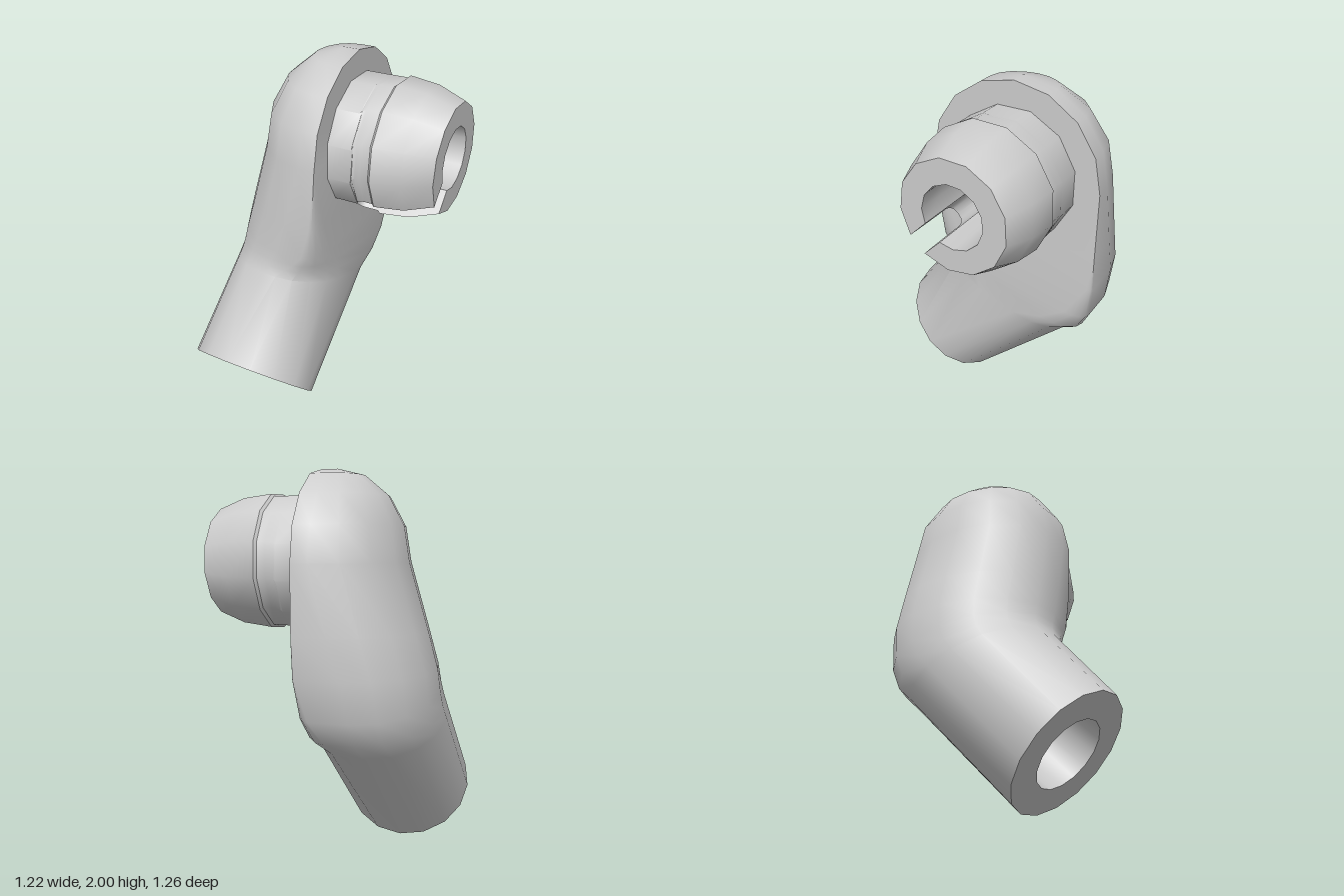
import * as THREE from 'three';
import { toCreasedNormals } from 'three/addons/utils/BufferGeometryUtils.js';

const FACE = 0.085; // x of the flat mounting face

// Skin a list of equal-length rings of Vector3; closed rings wrap around.
function loft(rings, closed = true) {
  const n = rings[0].length, index = [];
  for (let i = 0; i < rings.length - 1; i++) {
    for (let j = 0; j < (closed ? n : n - 1); j++) {
      const k = (j + 1) % n;
      const a = i * n + j, b = i * n + k, c = (i + 1) * n + k, d = (i + 1) * n + j;
      index.push(a, d, c, a, c, b);
    }
  }
  const g = new THREE.BufferGeometry().setFromPoints(rings.flat());
  g.setIndex(index);
  return toCreasedNormals(g, 0.65);
}

// Body section between two edge points [z, y]: round back, flat front with
// corner rounding cl / cr (0 = square, 1 = fully round).
function section([zl, yl], [zr, yr], xc, xmin, cl, cr) {
  const pts = [];
  const add = (s, x) => pts.push(new THREE.Vector3(
    x, (yl + yr) / 2 + s * (yl - yr) / 2, (zl + zr) / 2 + s * (zl - zr) / 2));
  for (let i = 0; i <= 8; i++) {
    const a = i * Math.PI / 8;
    add(Math.cos(a), xc + (xmin - xc) * Math.sin(a));
  }
  const corner = (side, c, t) => {
    const a = t * Math.PI / 2;
    add(side * (1 - c + c * Math.cos(a)), FACE - c * (FACE - xc) * (1 - Math.sin(a)));
  };
  for (let i = 0; i <= 4; i++) corner(-1, cr, i / 4);
  for (let i = 4; i >= 0; i--) corner(1, cl, i / 4);
  return pts;
}

function bodyGeometry() {
  const rings = [
    section([0.63, 0.49], [0.15, 0.0], -0.265, -0.61, 1, 1),
    section([0.31, 0.88], [-0.45, 0.60], -0.22, -0.555, 0.75, 0.7),
    section([0.295, 0.93], [-0.54, 0.68], -0.2, -0.545, 0.62, 0.45),
    section([0.29, 0.97], [-0.60, 0.80], -0.18, -0.535, 0.5, 0.25),
    section([0.29, 1.03], [-0.63, 1.0], -0.15, -0.52, 0.35, 0.06),
    section([0.29, 1.2], [-0.63, 1.2], -0.09, -0.47, 0.21, 0),
  ];
  // domed head
  for (let i = 0; i <= 4; i++) {
    const t = i * Math.PI / 8, w = 0.46 * Math.cos(t), y = 1.54 + 0.46 * Math.sin(t);
    rings.push(section([-0.17 + w, y], [-0.17 - w, y], 0, -0.37 * Math.cos(t), 0, 0));
  }
  // blind bore in the lower end
  const centre = new THREE.Vector3(-0.265, 0.245, 0.39);
  const inward = new THREE.Vector3(0, 0.35, -0.35);
  const mouth = rings[0].map(p => p.clone().lerp(centre, 0.435));
  const floor = mouth.map(p => p.clone().add(inward));
  const tip = floor.map(() => centre.clone().add(inward));
  return loft([tip, floor, mouth, ...rings]);
}

// Arc of the plug at x, leaving a parallel-sided gap of half width h.
function plugArc(x, r, h) {
  const gap = Math.asin(h / r), n = 12;
  return Array.from({ length: n + 1 }, (_, i) => {
    const a = -Math.PI / 4 + gap + (2 * Math.PI - 2 * gap) * i / n;
    return new THREE.Vector3(x, 1.54 + r * Math.sin(a), -0.17 + r * Math.cos(a));
  });
}

export function createModel() {
  const model = new THREE.Group();
  const material = new THREE.MeshStandardMaterial({ color: 0xcccccc });
  const add = (parent, name, geometry) => {
    const mesh = new THREE.Mesh(geometry, material);
    mesh.name = name;
    parent.add(mesh);
  };

  add(model, 'elbowBody', bodyGeometry());

  // hollow barbed plug: [x, outer radius, slot half width]
  const bore = 0.16;
  const profile = [
    [0.08, 0.34, 0], [0.21, 0.34, 0], [0.218, 0.34, 0.03], [0.235, 0.34, 0.046],
    [0.26, 0.34, 0.053], [0.305, 0.34, 0.053], [0.318, 0.352, 0.053],
    [0.47, 0.333, 0.053], [0.61, 0.28, 0.053],
  ];
  const outer = profile.map(([x, r, h]) => plugArc(x, r, h));
  const inner = profile.map(([x, , h]) => plugArc(x, bore, h));
  const plug = new THREE.Group();
  plug.name = 'plug';
  add(plug, 'plugWall', loft(outer.map((o, i) => [...o, ...inner[i].slice().reverse()])));
  add(plug, 'plugRim', loft([outer.at(-1), inner.at(-1)], false));
  const floor = plugArc(0.09, bore, 0);
  add(plug, 'plugFloor', loft([floor, floor.map(() => new THREE.Vector3(0.09, 1.54, -0.17))], false));
  model.add(plug);

  return model;
}
